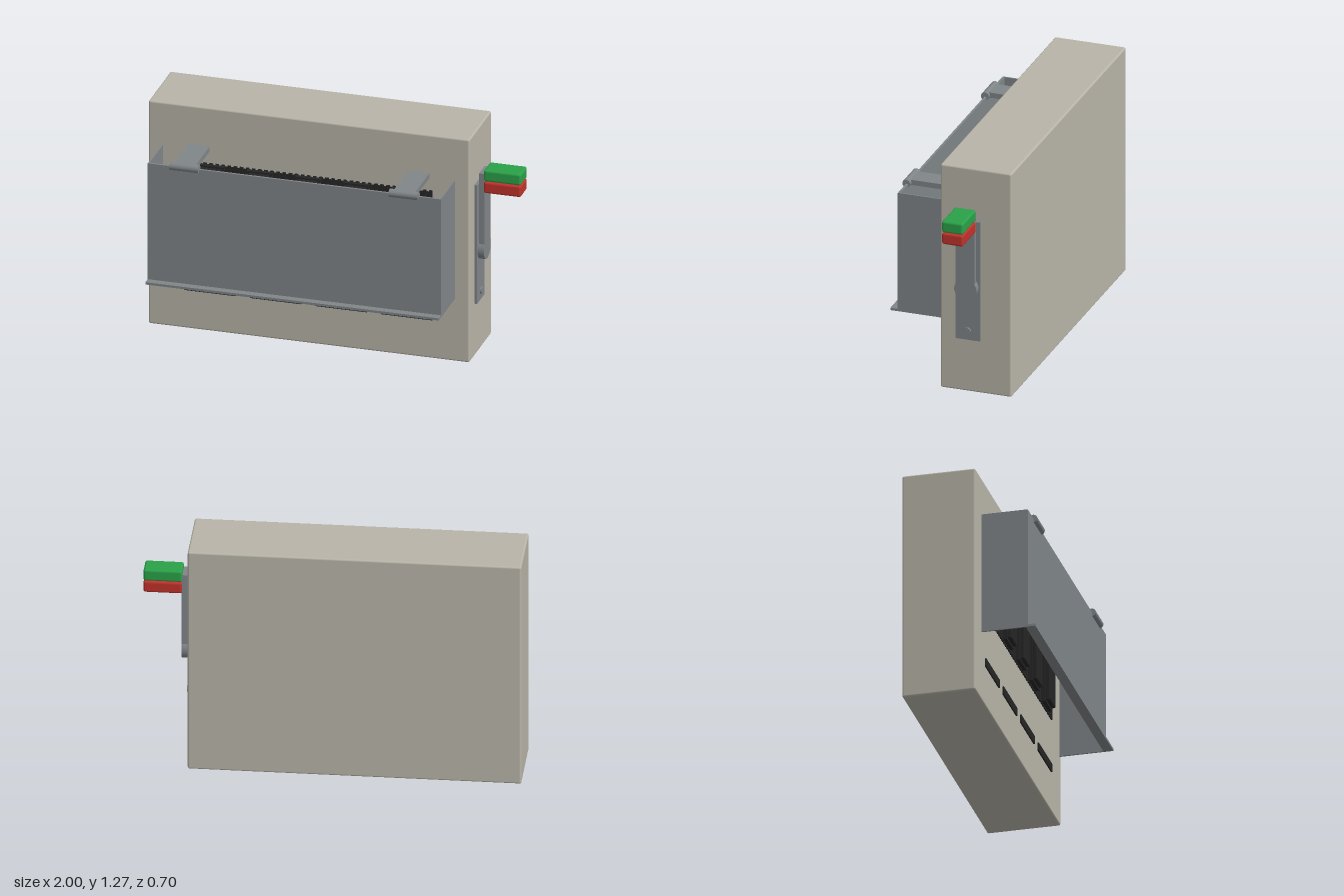
import * as THREE from 'three';
import { RoundedBoxGeometry } from 'three/addons/geometries/RoundedBoxGeometry.js';

const material = (name, color) => {
  const m = new THREE.MeshStandardMaterial({ color });
  m.name = name;
  return m;
};

export function createModel() {
  const model = new THREE.Group();
  model.name = 'switchBox';

  const beige = material('beige', 0xb8b4a8);
  const steel = material('steelGrey', 0x808588);
  const black = material('black', 0x262626);
  const green = material('green', 0x2aa148);
  const red = material('red', 0xc0322b);

  const add = (name, geometry, mat, parent = model) => {
    const mesh = new THREE.Mesh(geometry, mat);
    mesh.name = name;
    parent.add(mesh);
    return mesh;
  };
  // Box from its lower and upper bounds; a radius rounds the edges
  const box = (name, mat, [x0, x1], [y0, y1], [z0, z1], parent = model, radius = 0) => {
    const size = [x1 - x0, y1 - y0, z1 - z0];
    const geometry = radius
      ? new RoundedBoxGeometry(...size, 3, radius)
      : new THREE.BoxGeometry(...size);
    const mesh = add(name, geometry, mat, parent);
    mesh.position.set((x0 + x1) / 2, (y0 + y1) / 2, (z0 + z1) / 2);
    return mesh;
  };
  // Cylinder lying along x
  const rod = (name, mat, r, [x0, x1], y, z, parent = model) => {
    const geometry = new THREE.CylinderGeometry(r, r, x1 - x0, 32).rotateZ(Math.PI / 2);
    const mesh = add(name, geometry, mat, parent);
    mesh.position.set((x0 + x1) / 2, y, z);
    return mesh;
  };
  const group = (name) => {
    const g = new THREE.Group();
    g.name = name;
    model.add(g);
    return g;
  };

  // Cabinet
  const wall = 0.045;
  box('cabinet', beige, [-1, 0.75], [0, 1.273], [-0.35, wall], model, 0.01);

  // Lower ventilation slots
  for (let i = 0; i < 4; i++) {
    const x = -0.803 + i * 0.358;
    box('ventSlot', black, [x, x + 0.28], [0.22, 0.265], [wall - 0.005, 0.053]);
  }

  // Contact panel with fine slats and five stepped contact blocks
  const contacts = group('contactPanel');
  box('contactBacking', black, [-0.8, 0.55], [0.525, 0.952], [wall - 0.005, 0.05], contacts);
  for (let i = 0; i < 41; i++) {
    const x = -0.8 + i * 0.0333;
    box('slat', black, [x, x + 0.018], [0.52, 0.96], [wall - 0.005, 0.053], contacts);
  }
  for (let i = -2; i <= 2; i++) {
    const x = -0.125 + i * 0.263;
    box('contactBase', black, [x - 0.07, x + 0.07], [0.53, 0.955], [0.05, 0.073], contacts);
    box('contactFace', black, [x - 0.058, x + 0.058], [0.54, 0.945], [0.07, 0.095], contacts, 0.006);
  }

  // Cover: front sheet, two side sheets and a bottom lip
  const cover = group('cover');
  box('coverFront', steel, [-0.925, 0.675], [0.362, 1.037], [0.297, 0.309], cover);
  box('coverRightSide', steel, [-0.925, -0.917], [0.362, 1.037], [0.06, 0.3], cover);
  box('coverLeftSide', steel, [0.667, 0.675], [0.362, 1.037], [0.06, 0.3], cover);
  box('coverLip', steel, [-0.925, 0.675], [0.362, 0.375], [0.3, 0.35], cover);

  // Hinge arms and barrels
  for (const x of [-0.724, 0.473]) {
    const hinge = group('hinge');
    box('hingeArm', steel, [x - 0.058, x + 0.058], [1.026, 1.055], [wall - 0.005, 0.3], hinge);
    rod('hingeBarrel', steel, 0.022, [x - 0.079, x + 0.079], 1.039, 0.306, hinge);
  }

  // Side switch: mounting plate, screw and pivoting lever
  const handle = group('sideSwitch');
  const pivotY = 0.6, pivotZ = -0.112;
  box('mountingPlate', steel, [0.745, 0.765], [0.3, 0.978], [-0.18, -0.045], handle);
  rod('plateScrew', steel, 0.019, [0.76, 0.775], 0.352, pivotZ, handle);
  box('lever', steel, [0.77, 0.8], [pivotY, 1.04], [-0.162, -0.062], handle);
  rod('leverPivot', steel, 0.062, [0.763, 0.8], pivotY, pivotZ, handle);

  // Two-colour grip
  box('greenGrip', green, [0.797, 1], [1, 1.065], [-0.171, -0.053], handle, 0.012);
  box('redGrip', red, [0.797, 1], [0.933, 0.998], [-0.171, -0.053], handle, 0.012);

  return model;
}
